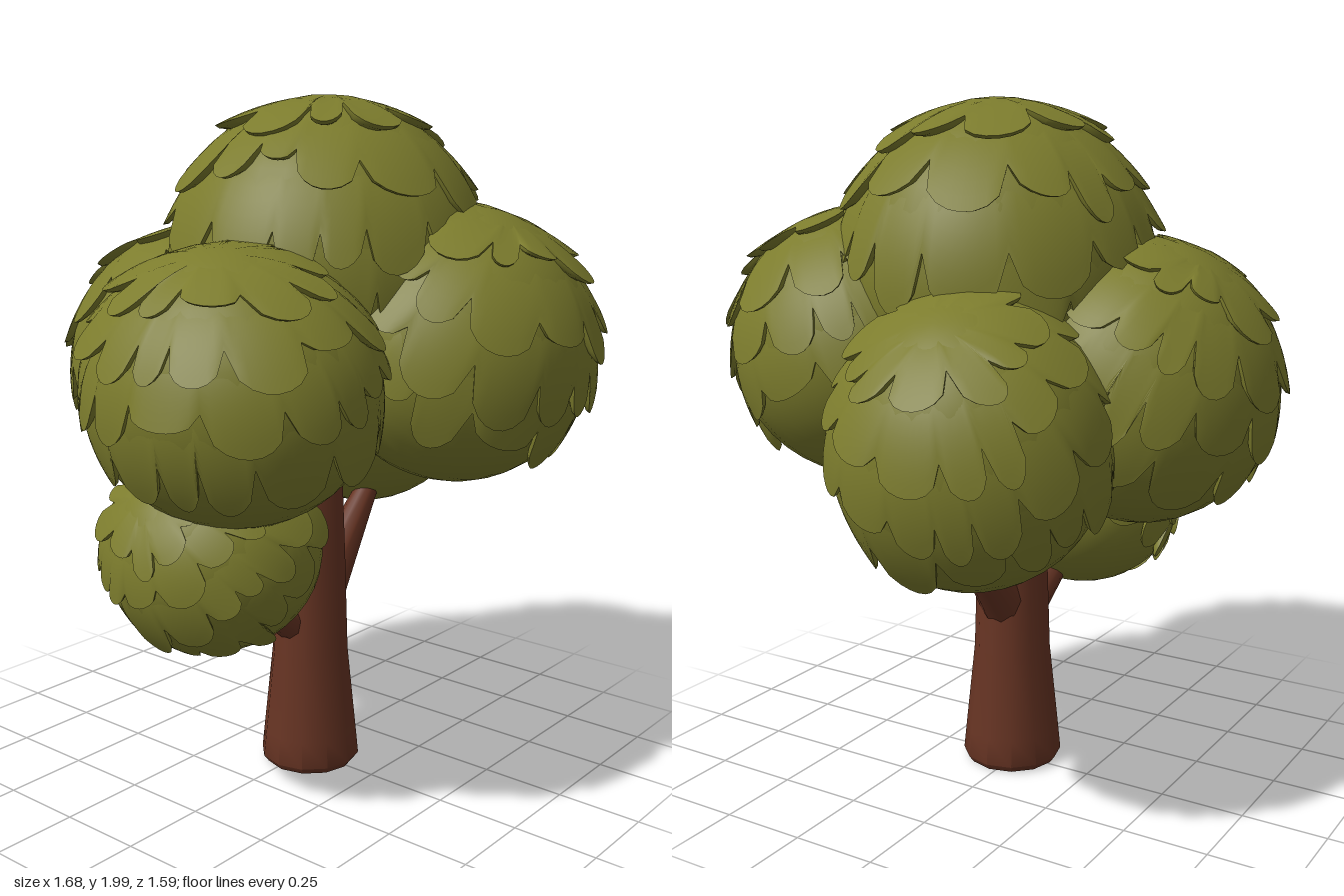
import * as THREE from 'three';
import { toCreasedNormals } from 'three/addons/utils/BufferGeometryUtils.js';

const leafMat = new THREE.MeshStandardMaterial({ color: 0x7c7c2d });
leafMat.name = 'olive leaves';
const barkMat = new THREE.MeshStandardMaterial({ color: 0x673423 });
barkMat.name = 'brown bark';

// Small seeded generator for leaf variation
let seed = 7;
const rand = () => {
  seed = (seed * 16807) % 2147483647;
  return seed / 2147483647;
};

const UP = new THREE.Vector3(0, 1, 0);

function addMesh(parent, name, geometry, material) {
  const mesh = new THREE.Mesh(geometry, material);
  mesh.name = name;
  parent.add(mesh);
}

// One skirt of overlapping rounded leaves on a unit sphere, with a turned-in lip
function leafTier(edge, leaves, amp) {
  const per = 8, cols = leaves * per, rows = 8;
  const start = Math.max(0, edge - 0.6);
  const startR = start === 0 ? 0.99 : 0.955;
  const turn = rand() * 6.28, wave = rand() * 6.28;
  const lengths = [], lifts = [];
  for (let k = 0; k < leaves; k++) {
    lengths.push(0.45 + 1.1 * rand());
    lifts.push(0.02 + 0.045 * rand());
  }
  const positions = [], index = [];
  const put = (theta, phi, r) => positions.push(
    r * Math.sin(theta) * Math.sin(phi), r * Math.cos(theta), r * Math.sin(theta) * Math.cos(phi));
  for (let i = 0; i <= rows + 2; i++) {
    for (let j = 0; j <= cols; j++) {
      const k = Math.floor(j / per) % leaves;
      const u = (j % per) / per * 2 - 1;
      const scallop = Math.sqrt(1 - u * u);
      const a = (j % cols) / cols * Math.PI * 2;
      // uneven leaf widths and a wandering hem
      const phi = a + turn + 0.13 * Math.sin(3 * a + wave);
      const tip = edge + 0.07 * Math.sin(2 * a + wave) + amp * (scallop * lengths[k] - 0.6);
      const lift = lifts[k] * scallop;
      if (i <= rows) {
        const s = i / rows;
        put(start + (tip - start) * s, phi, startR + (0.99 - startR) * s + lift * s ** 3);
      } else if (i === rows + 1) put(tip - 0.01, phi, 0.958 + lift);
      else put(tip - 0.12, phi, 0.92);
    }
  }
  const w = cols + 1;
  for (let i = 0; i < rows + 2; i++) {
    for (let j = 0; j < cols; j++) {
      const a = i * w + j, b = a + w;
      if (i > 0 || start > 0) index.push(a, b, a + 1);
      index.push(b, b + 1, a + 1);
    }
  }
  const geometry = new THREE.BufferGeometry();
  geometry.setAttribute('position', new THREE.Float32BufferAttribute(positions, 3));
  geometry.setIndex(index);
  return geometry;
}

// Leaf clump: round core plus four skirts around a tilted axis
function leafClump(name, center, radii, axis) {
  const clump = new THREE.Group();
  clump.name = name;
  const tilt = new THREE.Quaternion().setFromUnitVectors(UP, new THREE.Vector3(...axis).normalize());
  const shape = (g) => g.applyQuaternion(tilt).scale(...radii).translate(...center);
  addMesh(clump, 'clumpCore', shape(new THREE.SphereGeometry(0.97, 32, 22)), leafMat);
  const tiers = [[0.62, 10, 0.22], [1.04, 14, 0.22], [1.46, 16, 0.24], [1.86, 15, 0.26]];
  for (const tier of tiers) {
    addMesh(clump, 'leafTier', toCreasedNormals(shape(leafTier(...tier)), 0.8), leafMat);
  }
  return clump;
}

// Tapered limb between two points
function limb(from, to, r0, r1) {
  const a = new THREE.Vector3(...from), b = new THREE.Vector3(...to);
  const dir = b.clone().sub(a);
  const g = new THREE.CylinderGeometry(r1, r0, dir.length(), 10);
  g.applyQuaternion(new THREE.Quaternion().setFromUnitVectors(UP, dir.normalize()));
  const mid = a.add(b).multiplyScalar(0.5);
  return g.translate(mid.x, mid.y, mid.z);
}

export function createModel() {
  const tree = new THREE.Group();
  tree.name = 'tree';

  // Trunk, flared at the foot
  const profile = [[0, 0], [0.135, 0], [0.15, 0.02], [0.142, 0.1], [0.115, 0.36], [0.106, 0.65], [0.092, 1.02], [0.07, 1.4], [0, 1.42]]
    .map(([x, y]) => new THREE.Vector2(x, y));
  const trunk = toCreasedNormals(new THREE.LatheGeometry(profile, 12), 0.75);
  addMesh(tree, 'trunk', trunk.translate(-0.01, 0, 0.02), barkMat);

  // Branches
  addMesh(tree, 'leftBranch', limb([0, 0.47, 0.02], [0.36, 0.85, -0.01], 0.08, 0.026), barkMat);
  addMesh(tree, 'rightBranch', limb([0, 0.4, 0.02], [-0.36, 0.64, -0.01], 0.065, 0.03), barkMat);

  // Leaf clumps
  const clumps = [
    ['topClump', [0.055, 1.525, 0.025], [0.47, 0.48, 0.46], [0.05, 1, 0]],
    ['frontClump', [0.2, 1.3, 0.385], [0.405, 0.405, 0.4], [0.05, 1, 0.4]],
    ['backClump', [-0.04, 1.215, -0.395], [0.415, 0.41, 0.385], [0, 1, -0.5]],
    ['rightClump', [-0.445, 1.235, 0.11], [0.385, 0.385, 0.425], [-0.3, 1, 0.1]],
    ['leftClump', [0.45, 1.1, -0.135], [0.38, 0.405, 0.385], [0.6, 1, -0.05]],
    ['lowClump', [-0.4, 0.76, -0.01], [0.31, 0.295, 0.32], [-0.8, 0.7, -0.1]],
  ];
  for (const c of clumps) tree.add(leafClump(...c));
  return tree;
}
